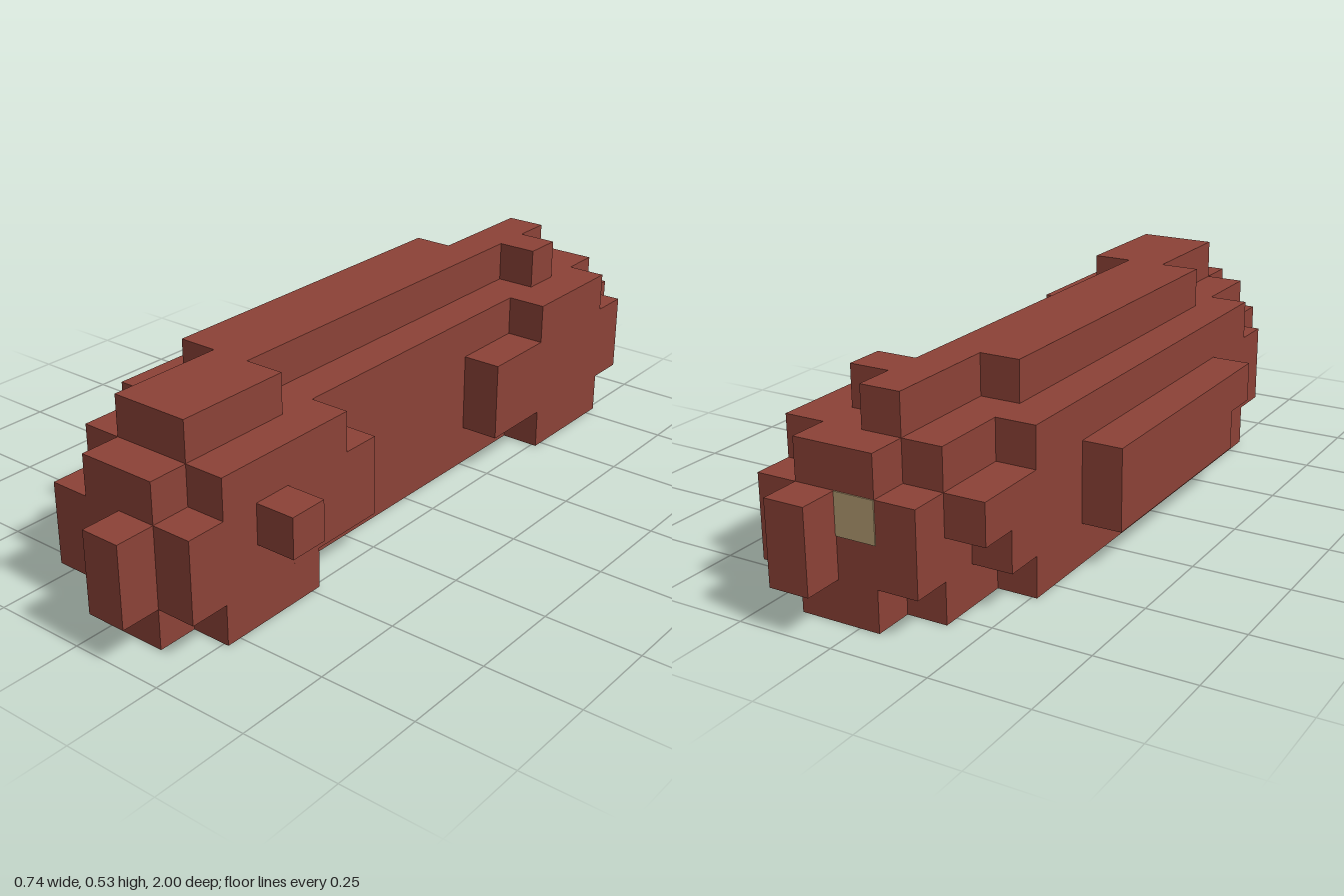
import * as THREE from 'three';

const U = 2 / 19; // edge of one block

export function createModel() {
  const group = new THREE.Group();
  group.name = 'blockLog';
  const brown = new THREE.MeshStandardMaterial({ color: 0x8c4237 });
  brown.name = 'reddish brown';
  const beige = new THREE.MeshStandardMaterial({ color: 0xb39a72 });
  beige.name = 'beige';

  // Box over whole grid cells (first and last cell included): 7 x 5 x 19 grid
  const block = (name, [x0, x1], [y0, y1], [z0, z1]) => {
    const geo = new THREE.BoxGeometry((x1 - x0 + 1) * U, (y1 - y0 + 1) * U, (z1 - z0 + 1) * U);
    const mesh = new THREE.Mesh(geo, brown);
    mesh.name = name;
    mesh.position.set(((x0 + x1 + 1) / 2 - 3.5) * U, ((y0 + y1 + 1) / 2) * U, ((z0 + z1 + 1) / 2 - 9.5) * U);
    group.add(mesh);
    return mesh;
  };

  // Core
  block('core', [3, 4], [0, 3], [1, 17]);
  block('rightCore', [2, 2], [1, 2], [1, 17]);
  block('rightCoreBottom', [2, 2], [0, 0], [2, 16]);
  block('rightCoreTop', [2, 2], [3, 3], [2, 16]);

  // Ridge along the top
  block('ridge', [3, 3], [4, 4], [2, 16]);
  block('ridgeRight', [2, 2], [4, 4], [5, 13]);
  block('ridgeFrontLeft', [4, 4], [4, 4], [14, 16]);
  block('ridgeKnot', [4, 4], [4, 4], [3, 3]);

  // Right flank
  block('rightFlankBottom', [1, 1], [0, 0], [4, 14]);
  block('rightFlankLower', [1, 1], [1, 1], [3, 15]);
  block('rightFlankUpper', [1, 1], [2, 2], [2, 15]);
  block('rightFlankTop', [1, 1], [3, 3], [4, 14]);
  block('rightBulgeUpper', [0, 0], [2, 2], [6, 12]);
  block('rightBulgeLower', [0, 0], [1, 1], [6, 11]);

  // Left flank, swelling at both ends
  block('leftBackSwell', [5, 5], [1, 2], [1, 6]);
  block('leftBackSwellBottom', [5, 5], [0, 0], [2, 4]);
  block('leftBackSwellTop', [5, 5], [3, 3], [2, 4]);
  block('leftFrontSwell', [5, 5], [1, 2], [12, 17]);
  block('leftFrontSwellBottom', [5, 5], [0, 0], [14, 16]);
  block('leftFrontSwellTop', [5, 5], [3, 3], [13, 16]);
  block('leftKnot', [6, 6], [2, 2], [15, 15]);

  // End nubs
  for (const [name, z] of [['backNub', 0], ['frontNub', 18]]) block(name, [4, 4], [1, 2], [z, z]);

  // Pale spot on the back end
  const spot = new THREE.Mesh(new THREE.BoxGeometry(U, U, 0.004), beige);
  spot.name = 'backSpot';
  spot.position.set(0, 2.5 * U, -8.5 * U - 0.001);
  group.add(spot);

  return group;
}
